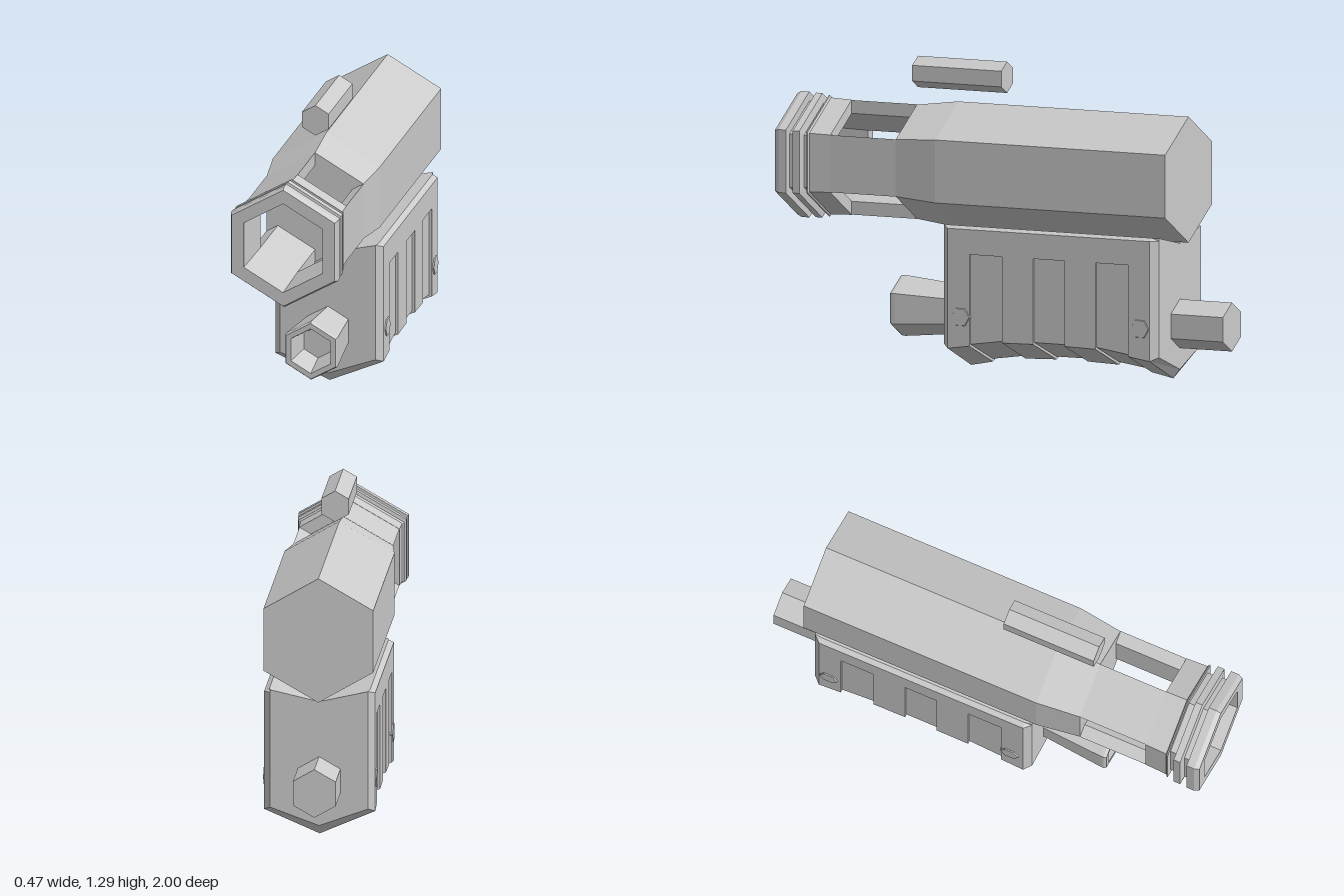
import * as THREE from 'three';

const material = new THREE.MeshStandardMaterial({ color: 0xcccccc, flatShading: true });

function add(parent, name, geometry, x = 0, y = 0, z = 0) {
  const mesh = new THREE.Mesh(geometry, material);
  mesh.name = name;
  mesh.position.set(x, y, z);
  parent.add(mesh);
  return mesh;
}

// Six-sided turned part along z, from [radius, z] pairs, with a corner at the top.
function hexTurned(profile) {
  const points = profile.map(([r, z]) => new THREE.Vector2(r, z));
  return new THREE.LatheGeometry(points, 6).rotateX(Math.PI / 2);
}

// Skin between cross-sections (counter-clockwise seen from +z), capped at both ends.
function loft(rings) {
  const n = rings[0].length;
  const positions = rings.flat(2);
  const index = [];
  for (let i = 0; i < rings.length - 1; i++) {
    for (let j = 0; j < n; j++) {
      const a = i * n + j, b = i * n + (j + 1) % n;
      index.push(a, b, b + n, a, b + n, a + n);
    }
  }
  const back = rings.length * n, front = back + 1, last = back - n;
  positions.push(0, 0.35, rings[0][0][2], 0, 0.35, rings[rings.length - 1][0][2]);
  for (let j = 0; j < n; j++) {
    const k = (j + 1) % n;
    index.push(back, k, j, front, last + j, last + k);
  }
  const geometry = new THREE.BufferGeometry();
  geometry.setAttribute('position', new THREE.Float32BufferAttribute(positions, 3));
  geometry.setIndex(index);
  geometry.computeVertexNormals();
  return geometry;
}

// Housing cross-section: half width, recess depth, rise of the keel and of the lower side edge.
function housingRing(z, width, recess, keel, edge) {
  const w = width - recess;
  const half = [
    [w, edge + recess * 0.5], [w, 0.5], [width, 0.5], [width, 0.605], [Math.min(width, 0.21), 0.617],
  ];
  const left = half.map(([x, y]) => [-x, y, z]).reverse();
  return [[0, keel + recess, z], ...half.map(([x, y]) => [x, y, z]), [0, 0.57, z], ...left];
}

export function createModel() {
  const model = new THREE.Group();
  model.name = 'twinTubeDevice';

  // Main tube: solid rear, three open-sided walls and a ringed collar
  const tube = new THREE.Group();
  tube.name = 'mainTube';
  tube.position.y = 0.84;
  model.add(tube);
  add(tube, 'tubeRear', hexTurned([[0, -0.8], [0.265, -0.8], [0.265, 0.26], [0.24, 0.45], [0, 0.45]]));
  add(tube, 'tubeCollar', hexTurned([
    [0.185, 0.75], [0.242, 0.75], [0.246, 0.845], [0.255, 0.85], [0.255, 0.855], [0.22, 0.855],
    [0.22, 0.88], [0.262, 0.885], [0.262, 0.915], [0.225, 0.92], [0.225, 0.945], [0.265, 0.945],
    [0.265, 0.98], [0.255, 1], [0.195, 1], [0.185, 0.75],
  ]));
  const c = Math.cos(Math.PI / 6), outer = 0.241, inner = 0.185;
  const wallShape = new THREE.Shape([
    new THREE.Vector2(inner * c, -inner / 2), new THREE.Vector2(outer * c, -outer / 2),
    new THREE.Vector2(outer * c, outer / 2), new THREE.Vector2(inner * c, inner / 2),
  ]);
  const wall = new THREE.ExtrudeGeometry(wallShape, { depth: 0.3, bevelEnabled: false });
  for (let i = 0; i < 3; i++) {
    add(tube, 'windowWall', wall, 0, 0, 0.45).rotation.z = i * Math.PI * 2 / 3;
  }

  // Small bar floating over the tube
  add(model, 'sightBar', hexTurned([[0, 0.035], [0.066, 0.035], [0.066, 0.445], [0, 0.445]]), 0, 1.22);

  // Lower housing: chamfered ends, bowed keel and three shallow grooves
  const W = 0.232;
  const half = [ // distance from the middle, recess, keel height, lower side edge
    [0.495, 0, 0.04, 0.115, 0.205], [0.465, 0, 0, 0.1], [0.365, 0, 0.02, 0.115],
    [0.365, 0.012, 0.02, 0.115], [0.215, 0.012, 0.042, 0.137], [0.215, 0, 0.042, 0.137],
    [0.072, 0, 0.047, 0.14], [0.072, 0.012, 0.047, 0.14],
  ];
  const middle = -0.265;
  const ring = (side) => ([d, recess, keel, edge, w = W]) =>
    housingRing(middle + side * d, w, recess, keel, edge);
  add(model, 'housing', loft([...half.map(ring(-1)), ...half.map(ring(1)).reverse()]));

  // Hexagonal bolts on both sides
  const bolt = new THREE.CylinderGeometry(0.04, 0.045, 0.012, 6).rotateZ(-Math.PI / 2);
  for (const side of [-1, 1]) {
    for (const z of [0.14, -0.685]) {
      const mesh = add(model, 'bolt', bolt, side * 0.231, 0.235, z);
      if (side < 0) mesh.rotation.y = Math.PI;
    }
  }

  // Flared nozzle and rear rod
  add(model, 'nozzle', hexTurned([
    [0, 0.2], [0.1, 0.2], [0.102, 0.23], [0.128, 0.5], [0.128, 0.515], [0.122, 0.525],
    [0.098, 0.525], [0.07, 0.4], [0, 0.4],
  ]), 0, 0.232);
  add(model, 'rearRod', hexTurned([[0, -1], [0.103, -1], [0.103, -0.74], [0, -0.74]]), 0, 0.232);

  return model;
}
